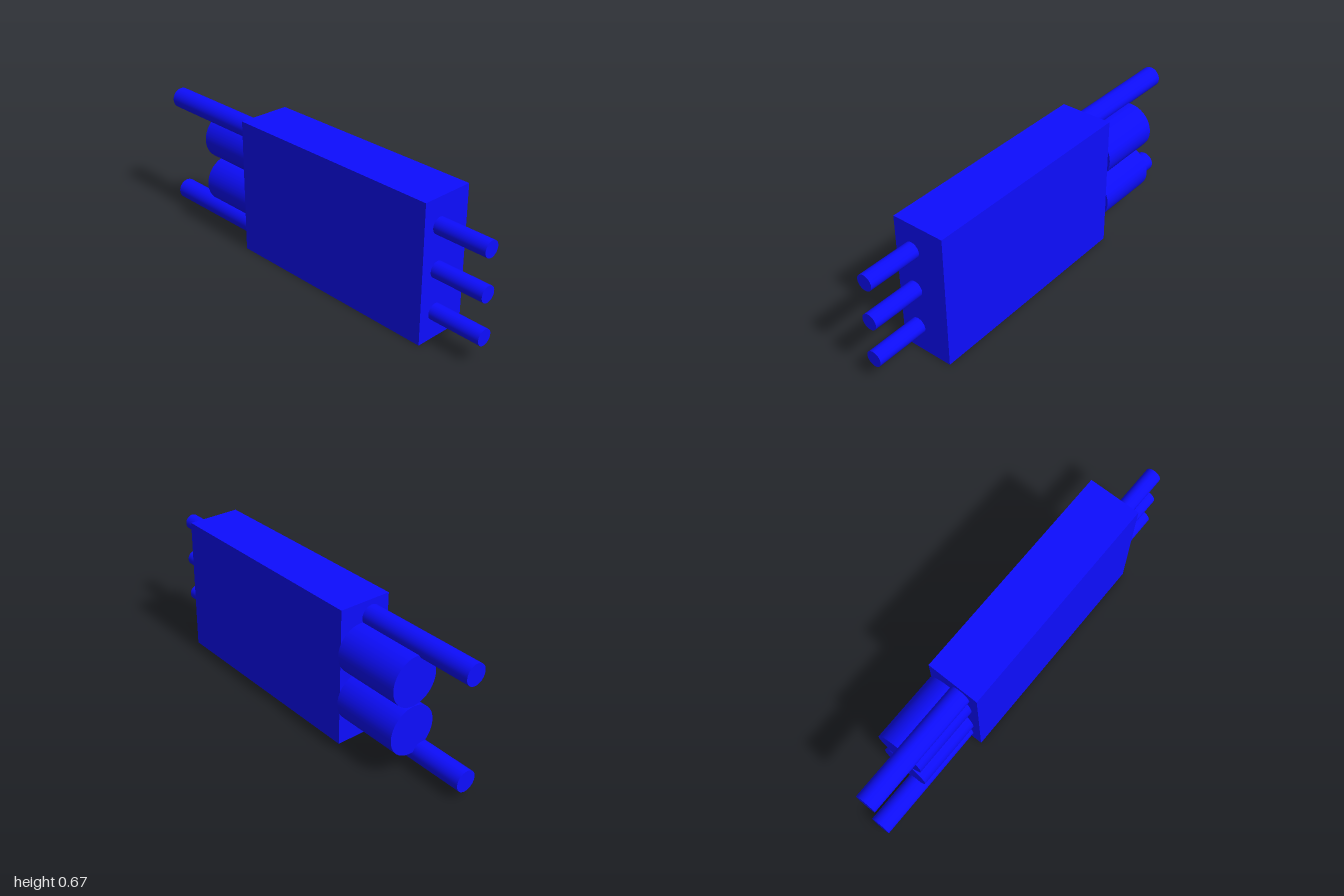
import * as THREE from 'three';

export function createModel() {
  const group = new THREE.Group();
  const material = new THREE.MeshStandardMaterial({ color: 0x0d0dff });

  // Cylinder lying along x from x0 to x1
  function rod(name, x0, x1, y, z, radius) {
    const geometry = new THREE.CylinderGeometry(radius, radius, x1 - x0, 48);
    geometry.rotateZ(Math.PI / 2);
    const mesh = new THREE.Mesh(geometry, material);
    mesh.name = name;
    mesh.position.set((x0 + x1) / 2, y, z);
    group.add(mesh);
  }

  // Rectangular housing
  const [left, right, height, back, front] = [-0.396, 0.735, 0.673, -0.125, 0.138];
  const housing = new THREE.Mesh(
    new THREE.BoxGeometry(right - left, height, front - back), material);
  housing.name = 'housing';
  housing.position.set((left + right) / 2, height / 2, (front + back) / 2);
  group.add(housing);

  // Three short pins on one end
  [0.132, 0.337, 0.542].forEach((y, i) => rod(`pin${i + 1}`, right, 1, y, 0.047, 0.039));

  // Two long rods and two thick barrels on the other end
  [['lower', -1], ['upper', 1]].forEach(([label, side]) => {
    rod(`${label}Rod`, -1, left, 0.338 + side * 0.257, 0.043, 0.051);
    rod(`${label}Barrel`, -0.737, left, 0.337 + side * 0.1205, -0.019, 0.119);
  });

  return group;
}
